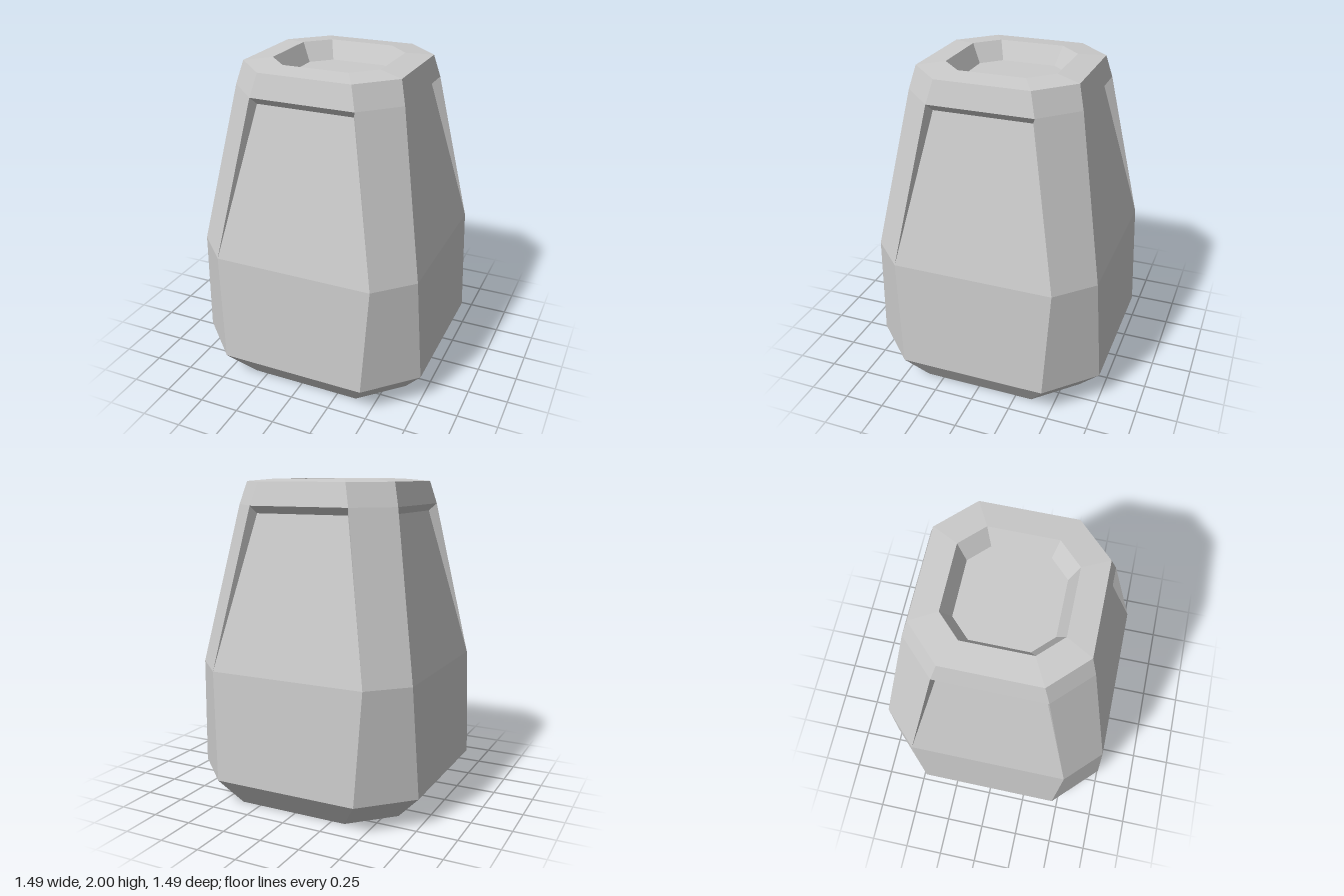
import * as THREE from 'three';

const material = new THREE.MeshStandardMaterial({ color: 0xcccccc, flatShading: true });

// Octagonal ring: half width a, half length b of the straight sides, height y, shift cx
function ring(a, b, y, cx = 0) {
  return [[-b, a], [b, a], [a, b], [a, -b], [b, -a], [-b, -a], [-a, -b], [-a, b]]
    .map(([x, z]) => new THREE.Vector3(x + cx, y, z));
}

// Faceted mesh from polygons (counter-clockwise from outside), fanned into triangles
function facets(name, polygons) {
  const points = [];
  for (const p of polygons) {
    for (let i = 1; i < p.length - 1; i++) points.push(p[0], p[i], p[i + 1]);
  }
  const geometry = new THREE.BufferGeometry().setFromPoints(points);
  geometry.computeVertexNormals();
  const mesh = new THREE.Mesh(geometry, material);
  mesh.name = name;
  return mesh;
}

// Quads between two rings; step 2 from start 1 gives only the chamfered corners
function band(lower, upper, start = 0, step = 1) {
  const quads = [];
  for (let i = start; i < 8; i += step) {
    const j = (i + 1) % 8;
    quads.push([lower[i], lower[j], upper[j], upper[i]]);
  }
  return quads;
}

export function createModel() {
  const group = new THREE.Group();
  const foot = ring(0.6, 0.355, 0, 0.02);
  const belly = ring(0.745, 0.46, 0.18);
  const waist = ring(0.71, 0.497, 0.86);
  const shoulder = ring(0.533, 0.322, 1.845);
  const rim = ring(0.497, 0.287, 1.985);
  const lip = ring(0.342, 0.205, 2.0);
  const well = ring(0.286, 0.172, 1.885);
  const panelTop = ring(0.488, 0.3, 1.8);

  // Bevelled base with its flat underside
  group.add(facets('base', [...band(foot, belly), [...foot].reverse()]));

  // Lower body and the four corner pillars
  group.add(facets('lowerBody', band(belly, waist)));
  group.add(facets('cornerPillars', band(waist, shoulder, 1, 2)));

  // Sunken panel on each of the four sides, with side walls and top ledge
  for (let i = 0; i < 8; i += 2) {
    const j = i + 1;
    group.add(facets('recessedPanel', [
      [waist[i], waist[j], panelTop[j], panelTop[i]],
      [waist[i], panelTop[i], shoulder[i]],
      [waist[j], shoulder[j], panelTop[j]],
      [panelTop[i], panelTop[j], shoulder[j], shoulder[i]],
    ]));
  }

  // Collar, top rim and the shallow well in the top
  group.add(facets('collar', band(shoulder, rim)));
  group.add(facets('topRim', band(rim, lip)));
  group.add(facets('topWell', [...band(lip, well), well]));

  return group;
}
